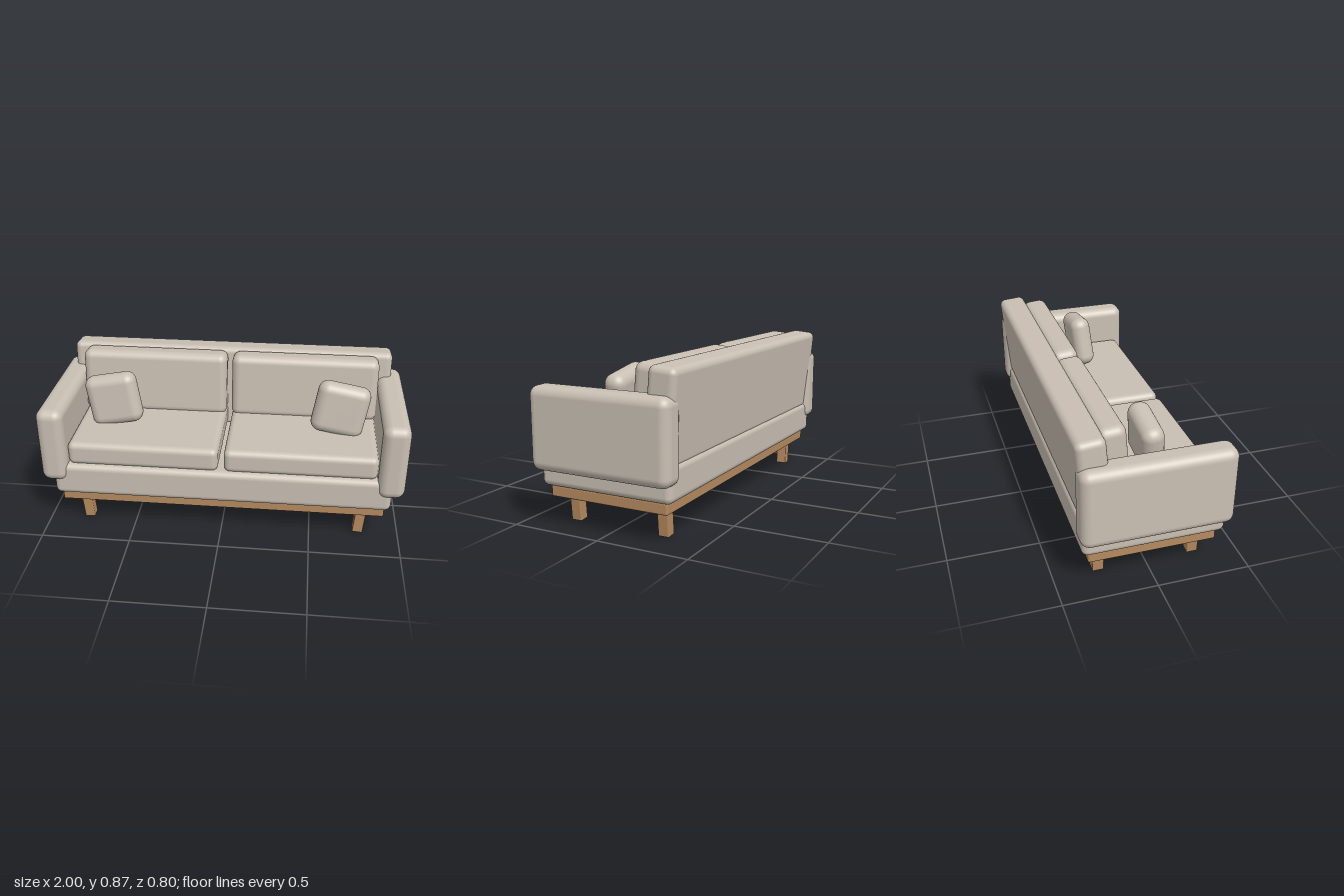
import * as THREE from 'three';
import { RoundedBoxGeometry } from 'three/addons/geometries/RoundedBoxGeometry.js';

export function createModel() {
  const fabric = new THREE.MeshStandardMaterial({ color: 0xc9bfb3 });
  fabric.name = 'warm grey fabric';
  const wood = new THREE.MeshStandardMaterial({ color: 0xb58a60 });
  wood.name = 'oak wood';

  const sofa = new THREE.Group();
  sofa.name = 'sofa';

  // Rounded block given by size, centre, edge radius and rotation
  const block = (name, material, size, position, radius, rotation = [0, 0, 0]) => {
    const mesh = new THREE.Mesh(new RoundedBoxGeometry(...size, 5, radius), material);
    mesh.name = name;
    mesh.position.set(...position);
    mesh.rotation.set(...rotation);
    sofa.add(mesh);
  };

  // Wooden plinth and upholstered base
  block('plinth', wood, [1.81, 0.062, 0.68], [0, 0.181, 0], 0.01);
  block('seatBase', fabric, [1.87, 0.19, 0.755], [0, 0.305, 0.002], 0.035);

  // Reclined backrest
  block('backrest', fabric, [1.87, 0.49, 0.153], [0, 0.621, -0.308], 0.035, [-0.087, 0, 0]);

  // Parts that mirror left and right
  for (const side of [1, -1]) {
    const label = side > 0 ? 'left' : 'right';
    block(label + 'Arm', fabric, [0.148, 0.433, 0.795], [side * 0.926, 0.5165, 0.0025], 0.05);
    block(label + 'SeatCushion', fabric, [0.835, 0.135, 0.62], [side * 0.434, 0.457, 0.045], 0.035);
    block(label + 'BackCushion', fabric, [0.84, 0.37, 0.145], [side * 0.435, 0.681, -0.185], 0.045, [-0.087, 0, 0]);
    block(label + 'Pillow', fabric, [0.295, 0.295, 0.12], [side * 0.642, 0.657, 0.04], 0.055, [-0.1, 0, side * -0.18]);

    // Legs lean slightly inward toward the floor
    for (const [end, z] of [['Front', 0.263], ['Back', -0.259]]) {
      block(label + end + 'Leg', wood, [0.058, 0.158, 0.061], [side * 0.781, 0.081, z], 0.006, [0, 0, side * -0.085]);
    }
  }

  return sofa;
}
